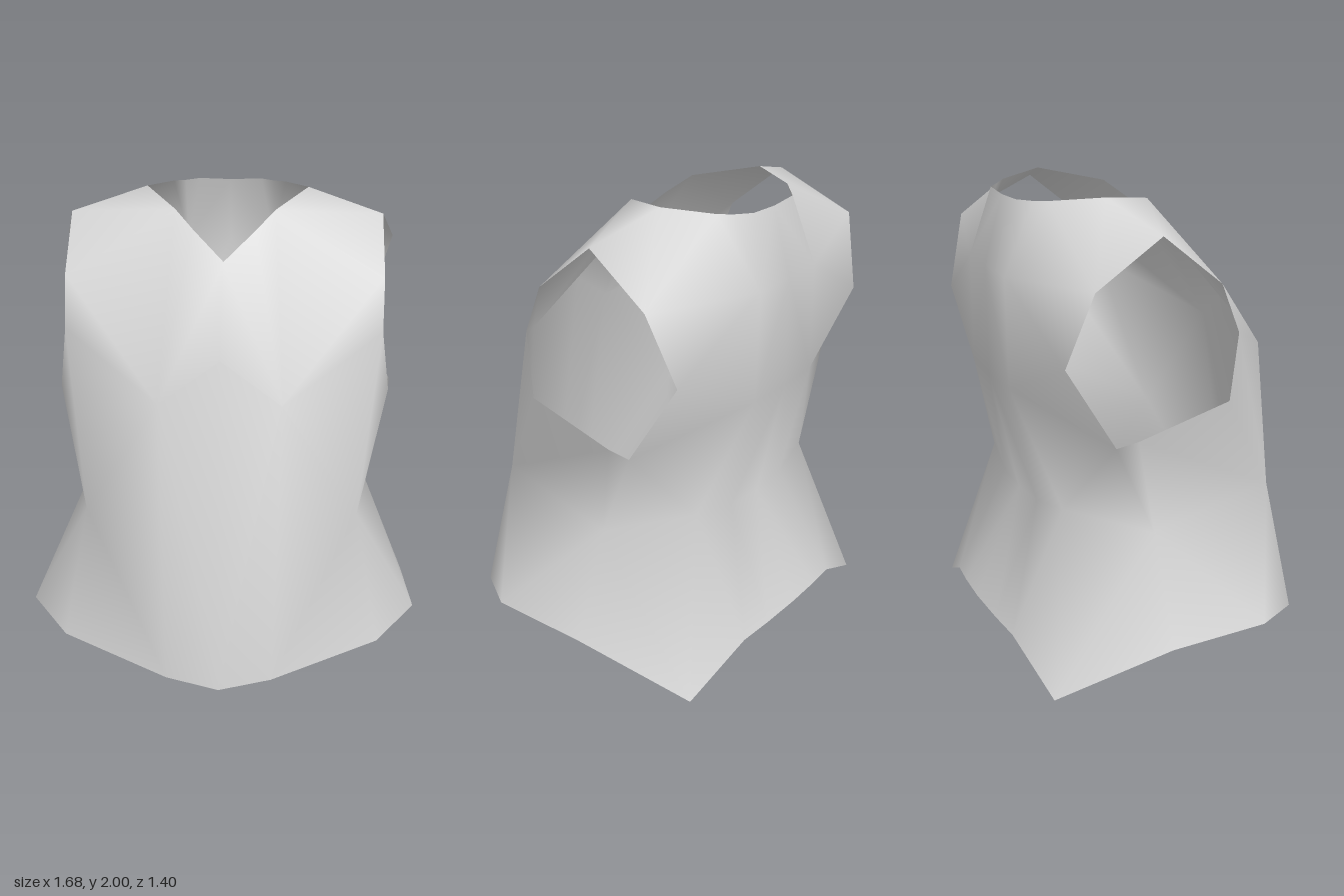
import * as THREE from 'three';
import { mergeVertices } from 'three/addons/utils/BufferGeometryUtils.js';

// Hem of the left half, from front centre round the side to back centre
const hem = [[0, .05, .7], [.22, .1, .69], [.67, .19, .5], [.84, .24, .27], [.82, .21, -.15],
  [.65, 0, -.61], [.34, .16, -.67], [.19, .175, -.69], [0, .19, -.705]];
const [hemFront, hemFront1, hemFront2, hemTip, hemSide, hemCorner, hemBack2, hemBack1, hemBack] = hem;

// Chest and waist
const chestMid = [0, 1.44, .5], chest = [.25, 1.27, .55];
const waistFront = [.57, .75, .42], waistSide = [.64, .66, -.15];
const waistBack = [.4, .73, -.455], waistBack1 = [.19, .69, -.485], waistBackMid = [0, .68, -.49];

// Armhole rim, from the front of the shoulder down, under the arm and up the back
const armTop = [.67, 1.905, -.14], armFront = [.67, 1.69, .12], armFrontLow = [.665, 1.48, .205];
const underFront = [.7, 1.21, .15], underMid = [.735, 1.12, -.27], underBack = [.73, 1.105, -.365];
const armBack = [.66, 1.43, -.545], armBackHigh = [.74, 1.74, -.455];

// Neck rim, from the V at the front to the back
const neckV = [0, 1.77, .2], neckFront1 = [.13, 1.88, .1], neckFront2 = [.21, 1.95, .02];
const neckSide = [.35, 2, -.23], neckBack3 = [.25, 1.985, -.43], neckBack2 = [.2, 1.98, -.475];
const neckBack1 = [.14, 1.98, -.525], neckBack = [0, 1.975, -.53];

// Shoulder blades
const bladeLow = [.21, 1.22, -.603], bladeLowMid = [0, 1.22, -.612];
const bladeHigh = [.2, 1.69, -.605], bladeHighMid = [0, 1.69, -.612];

// Pairs of rows (lower, upper) to be skinned; a repeated point makes a fan
const strips = [
  // skirt, from hem to waist and chest
  [[hemFront, hemFront1, hemFront2, hemTip, hemSide, hemCorner, hemCorner, hemBack2, hemBack1, hemBack],
    [chestMid, chest, waistFront, waistFront, waistSide, waistSide, waistBack, waistBack, waistBack1, waistBackMid]],
  // side, from waist to armhole
  [[waistFront, waistFront, waistSide, waistSide, waistBack],
    [armFrontLow, underFront, underMid, underBack, underBack]],
  [[waistFront, armFrontLow, armFront], [chest, chest, chest]],
  // chest and shoulder strap, from armhole to neck
  [[chestMid, chest, chest, chest, armFront, armTop, armTop, armBackHigh, armBackHigh],
    [neckV, neckV, neckFront1, neckFront2, neckFront2, neckFront2, neckSide, neckSide, neckBack3]],
  // back, from waist to neck
  [[waistBack, waistBack1, waistBackMid], [underBack, bladeLow, bladeLowMid]],
  [[underBack, bladeLow, bladeLow, bladeLowMid], [armBack, armBack, bladeHigh, bladeHighMid]],
  [[armBack, bladeHigh, bladeHigh, bladeHigh, bladeHigh, bladeHighMid],
    [armBackHigh, armBackHigh, neckBack3, neckBack2, neckBack1, neckBack]],
];

function buildShell() {
  const positions = [];
  const mirror = ([x, y, z]) => [-x, y, z];
  const triangle = (a, b, c) => {
    if (a === b || b === c || a === c) return;
    positions.push(...a, ...b, ...c);
    positions.push(...mirror(a), ...mirror(c), ...mirror(b));
  };
  for (const [low, high] of strips) {
    for (let i = 0; i < low.length - 1; i++) {
      triangle(low[i], low[i + 1], high[i + 1]);
      triangle(low[i], high[i + 1], high[i]);
    }
  }
  const soup = new THREE.BufferGeometry();
  soup.setAttribute('position', new THREE.Float32BufferAttribute(positions, 3));
  // Shared corners give smooth normals over the whole cloth
  const geometry = mergeVertices(soup, 1e-4);
  geometry.computeVertexNormals();
  return geometry;
}

export function createModel() {
  const cloth = new THREE.MeshStandardMaterial({ color: 0xd6d6d6, side: THREE.DoubleSide });
  cloth.name = 'light grey cloth';

  const vest = new THREE.Mesh(buildShell(), cloth);
  vest.name = 'sleevelessVest';

  const model = new THREE.Group();
  model.name = 'vest';
  model.add(vest);
  return model;
}
